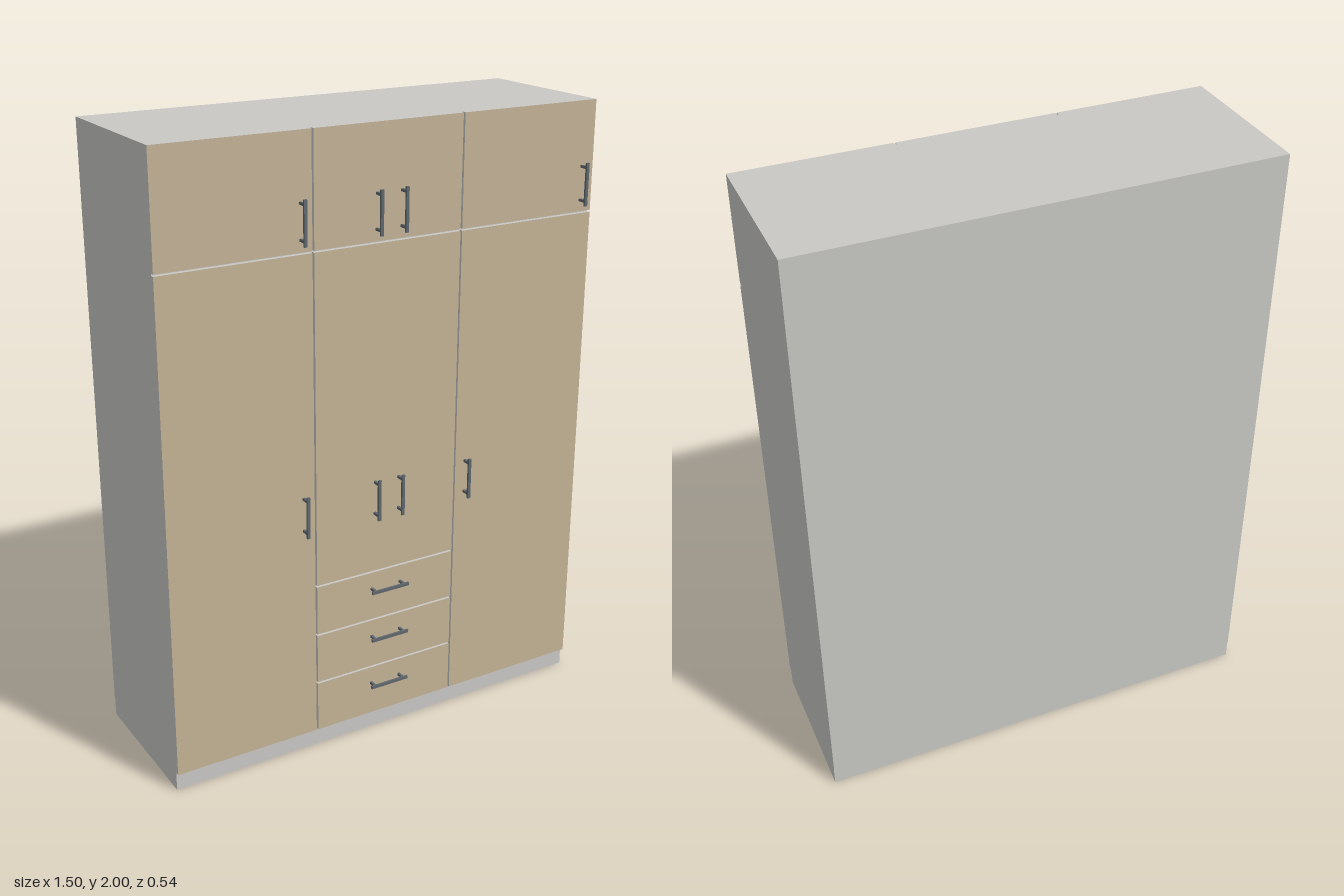
import * as THREE from 'three';

const grey = new THREE.MeshStandardMaterial({ color: 0xc9c8c5 });
const tan = new THREE.MeshStandardMaterial({ color: 0xc4b296 });
const metal = new THREE.MeshStandardMaterial({ color: 0x5f686e });
grey.name = 'greyBoard';
tan.name = 'tanFront';
metal.name = 'handleMetal';

// Box given by its limits on each axis
function box(parent, name, material, [x0, x1], [y0, y1], [z0, z1]) {
  const mesh = new THREE.Mesh(new THREE.BoxGeometry(x1 - x0, y1 - y0, z1 - z0), material);
  mesh.position.set((x0 + x1) / 2, (y0 + y1) / 2, (z0 + z1) / 2);
  mesh.name = name;
  parent.add(mesh);
  return mesh;
}

export function createModel() {
  const model = new THREE.Group();
  model.name = 'wardrobe';
  const W = 0.748, BACK = -0.272, CARCASS = 0.226, FACE = 0.24, BASE = 0.062, GAP = 0.003;

  // Carcass
  box(model, 'carcass', grey, [-W, W], [BASE, 2], [BACK, CARCASS]);

  // Hollow plinth, open underneath
  const plinth = new THREE.Group();
  plinth.name = 'plinth';
  model.add(plinth);
  const t = 0.016, pb = BACK + 0.003;
  box(plinth, 'plinthFront', grey, [-W, W], [0, BASE], [CARCASS - t, CARCASS]);
  box(plinth, 'plinthBack', grey, [-W, W], [0, BASE], [pb, pb + t]);
  for (const s of [-1, 1]) {
    const xs = s < 0 ? [-W, -W + t] : [W - t, W];
    box(plinth, 'plinthSide', grey, xs, [0, BASE], [pb + t, CARCASS - t]);
  }

  // Doors and drawer fronts: tan face, grey edges
  const frontMaterials = [grey, grey, grey, grey, tan, grey];
  const front = (name, x0, x1, y0, y1) =>
    box(model, name, frontMaterials,
      [x0 === -W ? x0 : x0 + GAP, x1 === W ? x1 : x1 - GAP],
      [y0 === BASE ? y0 : y0 + GAP, y1 === 2 ? y1 : y1 - GAP], [CARCASS, FACE]);
  const C = 0.255, SPLIT = 1.65;
  const drawers = [BASE, 0.235, 0.408, 0.58];
  for (const [x0, x1] of [[-W, -C], [-C, C], [C, W]]) {
    front('upperDoor', x0, x1, SPLIT, 2);
    front('lowerDoor', x0, x1, x0 === -C ? drawers[3] : BASE, SPLIT);
  }
  for (let i = 0; i < 3; i++) front('drawerFront', -C, C, drawers[i], drawers[i + 1]);

  // Bar handles on two posts
  function handle(name, x, y, horizontal) {
    const g = new THREE.Group();
    g.name = name;
    box(g, 'bar', metal, [-0.005, 0.005], [-0.068, 0.068], [0.265, 0.272]);
    for (const s of [-0.053, 0.053]) {
      box(g, 'post', metal, [-0.004, 0.004], [s - 0.004, s + 0.004], [FACE, 0.265]);
    }
    g.position.set(x, y, 0);
    if (horizontal) g.rotation.z = Math.PI / 2;
    model.add(g);
  }
  for (const x of [-0.296, -0.044, 0.042, 0.705]) handle('upperDoorHandle', x, 1.743, false);
  for (const x of [-0.296, -0.044, 0.042, 0.293]) handle('lowerDoorHandle', x, 0.837, false);
  for (const y of [0.175, 0.348, 0.52]) handle('drawerHandle', 0, y, true);

  return model;
}
